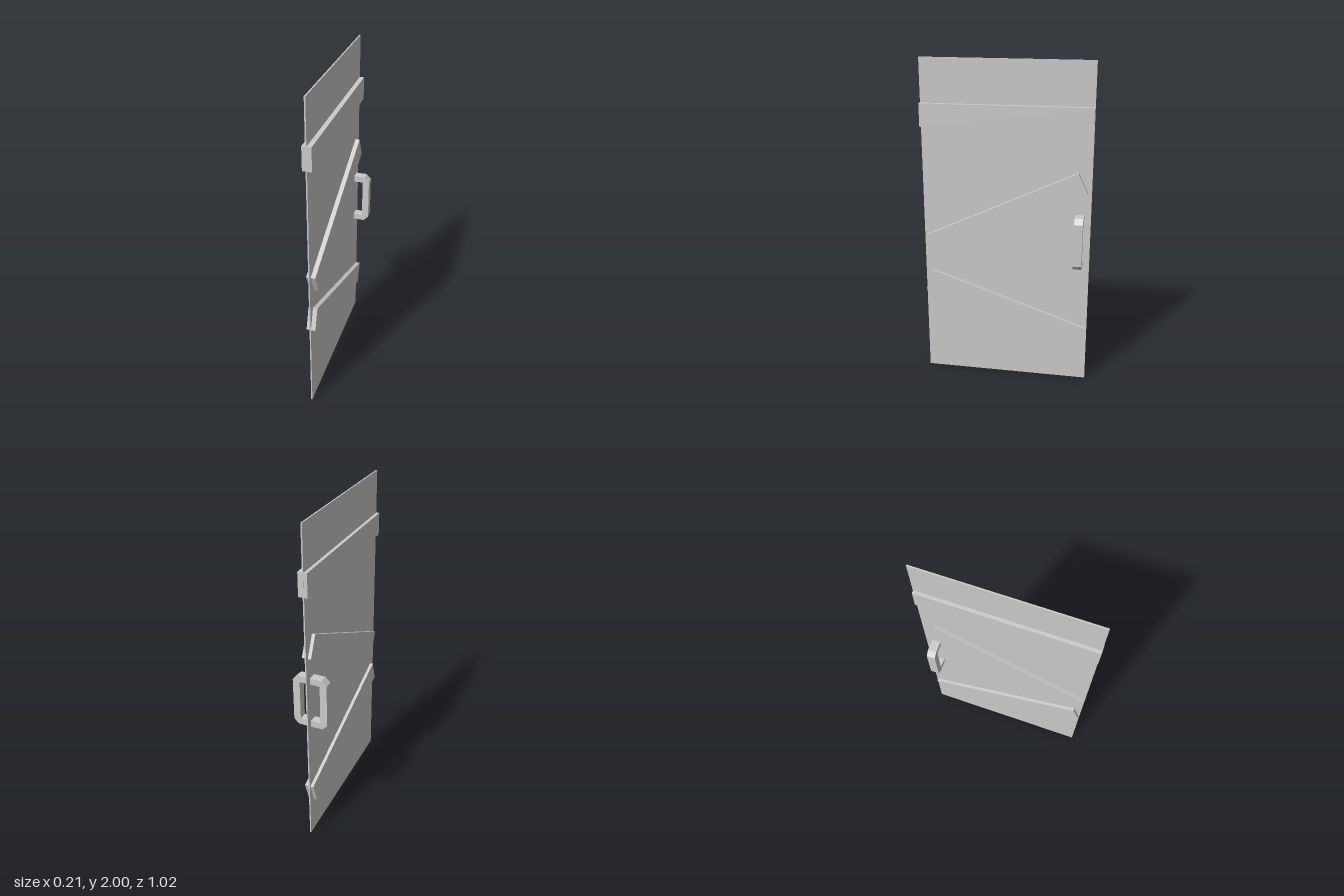
import * as THREE from 'three';

export function createModel() {
  const door = new THREE.Group();
  door.name = 'door';
  const material = new THREE.MeshStandardMaterial({ color: 0xcccccc, flatShading: true });

  const add = (name, geometry, x, y, z, tilt = 0) => {
    const mesh = new THREE.Mesh(geometry, material);
    mesh.name = name;
    mesh.position.set(x, y, z);
    mesh.rotation.x = tilt;
    door.add(mesh);
  };

  // Thin door leaf
  add('panel', new THREE.BoxGeometry(0.008, 2, 1.022), -0.001, 1, 0);

  // Planks run through the leaf and stand out on both faces
  const planks = [
    ['topPlank', 1.67, 0.003],
    ['middlePlank', 1.079, 0.44],
    ['lowerPlank', 0.46, -0.326],
  ];
  for (const [name, y, tilt] of planks) {
    add(name, new THREE.BoxGeometry(0.054, 0.139, 1.022), 0.003, y, 0.002, tilt);
  }

  // Chamfered handle loop, one grip on each face
  const w = 0.103, h = 0.161, c = 0.03;
  const outline = [
    [w, h - c], [w - c, h], [c - w, h], [-w, h - c],
    [-w, c - h], [c - w, -h], [w - c, -h], [w, c - h],
  ].map(([x, y]) => new THREE.Vector2(x, y));
  const loop = new THREE.Shape(outline);
  const iw = 0.061, ih = 0.122;
  loop.holes.push(new THREE.Path(
    [[-iw, -ih], [iw, -ih], [iw, ih], [-iw, ih]].map(([x, y]) => new THREE.Vector2(x, y))
  ));
  const handle = new THREE.ExtrudeGeometry(loop, { depth: 0.052, bevelEnabled: false });
  handle.translate(0, 0, -0.026);
  add('handle', handle, -0.002, 0.939, -0.445);

  return door;
}
